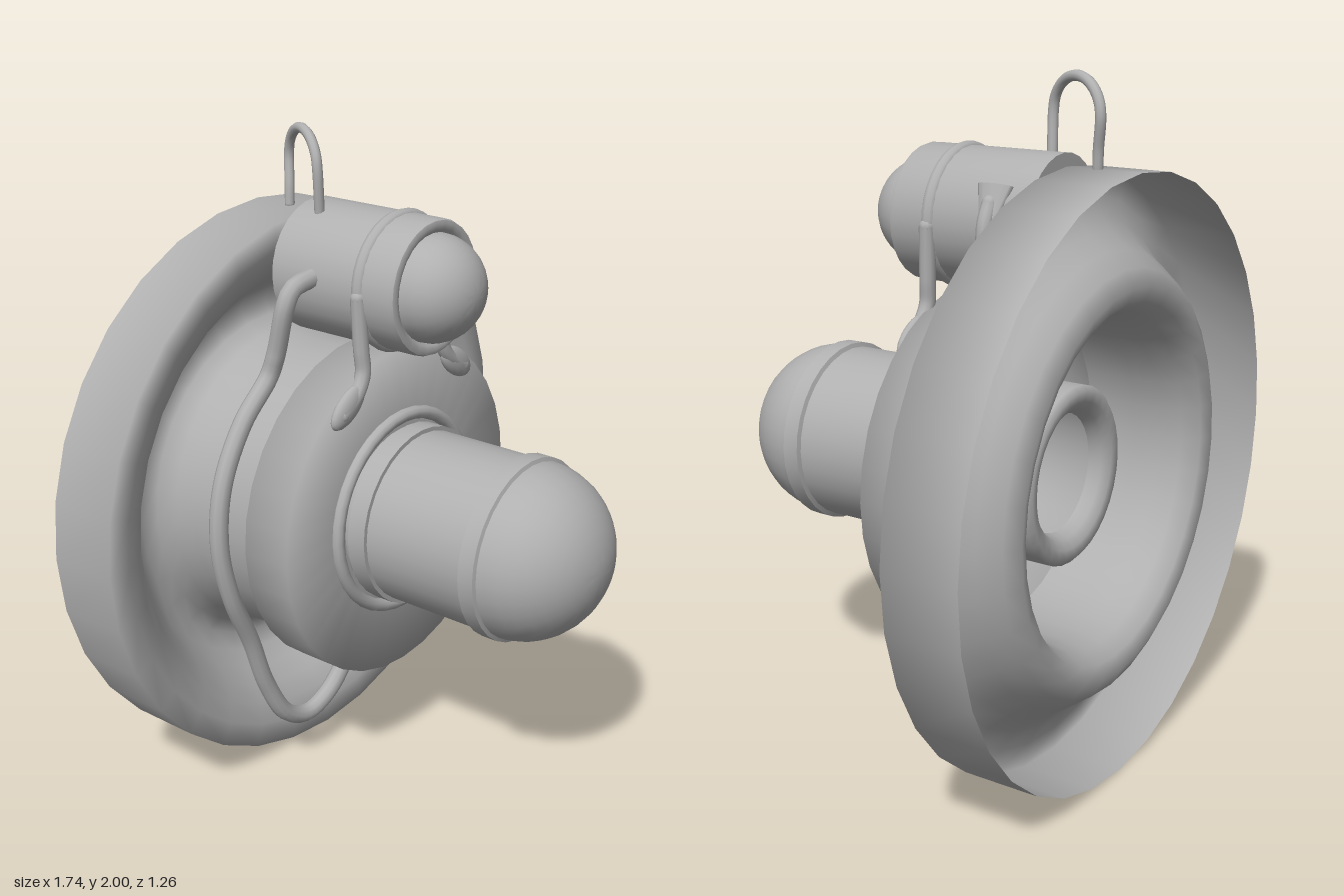
import * as THREE from 'three';
import { toCreasedNormals } from 'three/addons/utils/BufferGeometryUtils.js';

const AXIS_Y = 0.875; // height of the main axis
const POD_Y = 1.587; // height of the small upper cylinder

export function createModel() {
  const root = new THREE.Group();
  root.name = 'roundFixture';
  const grey = new THREE.MeshStandardMaterial({ color: 0xb0b0b0, side: THREE.DoubleSide });
  grey.name = 'plain grey';

  function add(name, geometry, x = 0, y = 0, z = 0) {
    const mesh = new THREE.Mesh(geometry, grey);
    mesh.name = name;
    mesh.position.set(x, y, z);
    root.add(mesh);
    return mesh;
  }

  // Turned part: profile of [radius, z] points around an axis along z
  function turned(name, profile, y, segments = 32, crease = 0.6) {
    const lathe = new THREE.LatheGeometry(profile.map(([r, z]) => new THREE.Vector2(r, z)), segments);
    lathe.rotateX(Math.PI / 2);
    return add(name, toCreasedNormals(lathe, crease), 0, y);
  }

  // Quarter-round dome profile ending on the axis
  function dome(radius, z, depth, steps = 10) {
    return Array.from({ length: steps + 1 }, (_, i) => {
      const a = (i / steps) * Math.PI / 2;
      return [i === steps ? 0 : radius * Math.cos(a), z + depth * Math.sin(a)];
    });
  }

  // Bent rod with rounded ends
  function rod(name, points, radius, segments = 40) {
    const pts = points.map((p) => new THREE.Vector3(...p));
    const curve = new THREE.CatmullRomCurve3(pts, false, 'centripetal');
    add(name, new THREE.TubeGeometry(curve, segments, radius, 10));
    for (const p of [pts[0], pts[pts.length - 1]]) {
      add(name + 'End', new THREE.SphereGeometry(radius, 10, 8), p.x, p.y, p.z);
    }
  }

  // Large dished plate: thin shell with a rolled groove rising into the neck of the housing
  turned('dishedPlate', [
    [0.872, -0.63], [0.872, -0.405], [0.80, -0.408], [0.74, -0.433], [0.692, -0.478], [0.652, -0.535],
    [0.61, -0.59], [0.56, -0.617], [0.515, -0.6], [0.485, -0.55], [0.47, -0.48], [0.468, -0.40], [0.468, -0.25],
  ], AXIS_Y, 32, 2);

  // Wider front of the housing: thin shell, open at the back
  turned('housing', [
    [0.468, -0.255], [0.515, -0.238], [0.515, -0.08], [0.25, -0.08],
  ], AXIS_Y, 32, 2);

  // Hollow central tube with a turned-in back lip and raised bands
  turned('centralTube', [
    [0.175, -0.40], [0.19, -0.435], [0.215, -0.455], [0.245, -0.46], [0.262, -0.445], [0.262, -0.06],
    [0.275, -0.06], [0.275, 0], [0.262, 0], [0.262, 0.33], [0.275, 0.335], [0.275, 0.385], [0.262, 0.39],
  ], AXIS_Y, 32, 0.9);
  turned('centralDome', dome(0.265, 0.375, 0.255), AXIS_Y);

  // Rounded collar where the tube meets the housing
  add('collar', new THREE.TorusGeometry(0.302, 0.02, 10, 36), 0, AXIS_Y, -0.074);

  // Upper pod and its round nose
  turned('upperPod', [
    [0, -0.395], [0.196, -0.395], [0.196, 0.035], [0.192, 0.046], [0.18, 0.05], [0.165, 0.045], [0.15, 0.03],
  ], POD_Y, 28, 0.9);
  turned('podNose', dome(0.157, 0.035, 0.155), POD_Y, 28);

  // Clamp ring and its two splayed feet
  add('clampRing', new THREE.TorusGeometry(0.185, 0.022, 10, 36), 0, POD_Y, -0.08);
  for (const side of [-1, 1]) {
    rod('clampLeg', [
      [side * 0.19, 1.58, -0.078], [side * 0.184, 1.43, -0.075], [side * 0.182, 1.36, -0.072],
      [side * 0.215, 1.305, -0.07], [side * 0.28, 1.262, -0.07],
    ], 0.023);
    const foot = add('clampFoot', new THREE.SphereGeometry(0.082, 16, 10), side * 0.25, 1.28, -0.07);
    foot.scale.set(1, 0.5, 0.28);
    foot.rotation.z = -side * 0.62;
  }

  // Rear strut, flared where it joins the pod
  rod('rearStrut', [
    [0.182, 1.66, -0.275], [0.208, 1.6, -0.275], [0.213, 1.4, -0.28], [0.235, 1.31, -0.28],
    [0.3, 1.25, -0.27], [0.37, 1.205, -0.255],
  ], 0.023);
  const flare = add('strutFlare', new THREE.CylinderGeometry(0.056, 0.026, 0.1, 12), 0.18, 1.66, -0.278);
  flare.scale.x = 0.35;
  flare.rotation.z = 0.45;

  // Long hose from the pod around the housing to its underside
  rod('hose', [
    [-0.17, 1.61, -0.25], [-0.265, 1.59, -0.255], [-0.288, 1.55, -0.26], [-0.292, 1.4, -0.3],
    [-0.305, 1.33, -0.32], [-0.42, 1.22, -0.32], [-0.51, 1.06, -0.32], [-0.535, 0.88, -0.32],
    [-0.5, 0.7, -0.32], [-0.42, 0.52, -0.33], [-0.36, 0.34, -0.33], [-0.29, 0.21, -0.32],
    [-0.2, 0.165, -0.315], [-0.1, 0.2, -0.31], [-0.02, 0.29, -0.305], [0.02, 0.42, -0.30],
  ], 0.028, 90);

  // Thin arched hook joining the pod to the plate
  const arch = Array.from({ length: 9 }, (_, i) => {
    const a = (i / 8) * Math.PI;
    return [-0.035 - 0.05 * Math.cos(a), 1.885 + 0.1 * Math.sin(a), -0.41 + 0.1 * Math.cos(a)];
  });
  rod('topHook', [[-0.075, 1.76, -0.315], ...arch, [0, 1.8, -0.498], [-0.005, 1.75, -0.495]], 0.015, 60);

  return root;
}
